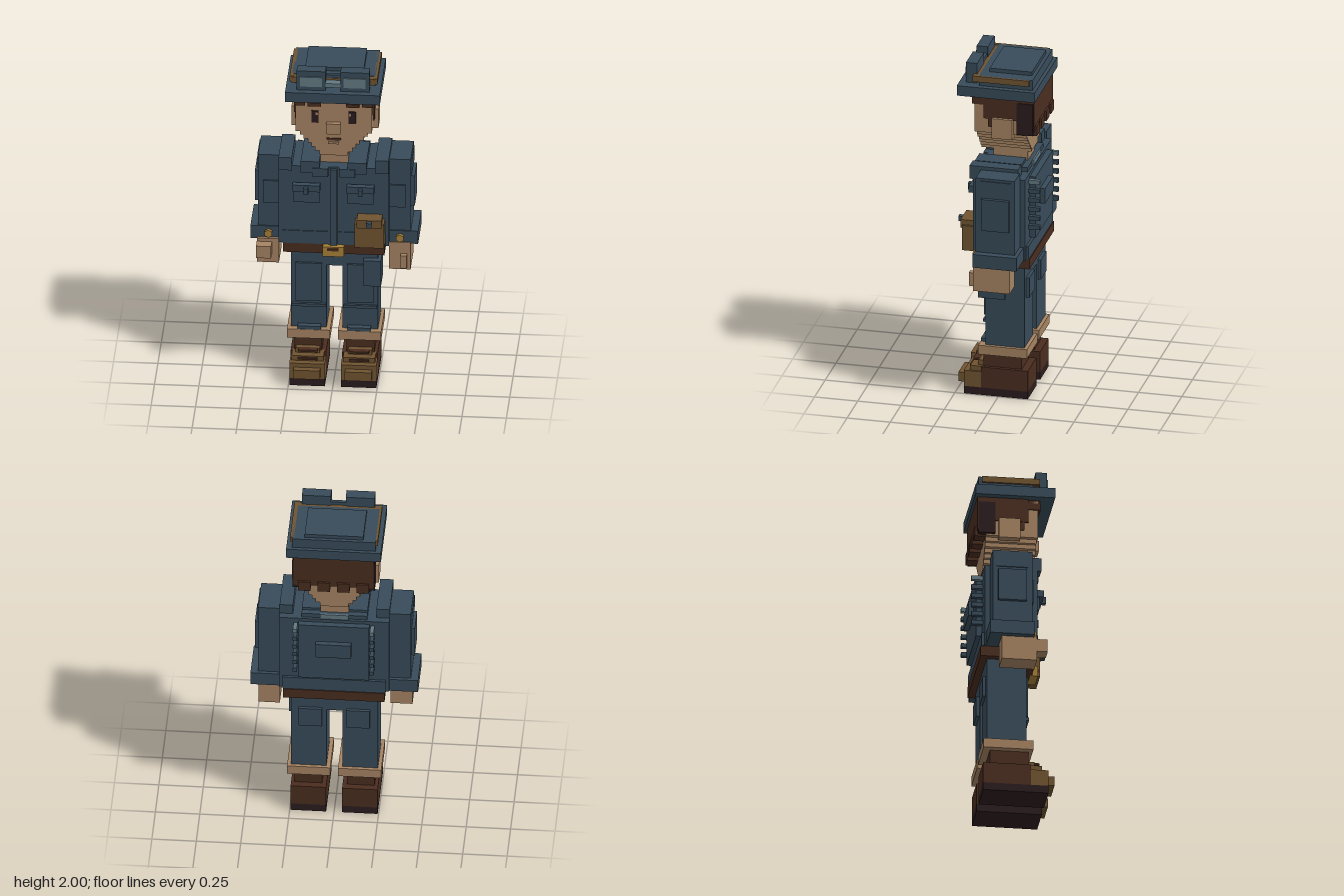
import * as THREE from 'three';

const mat = (name, color) => {
  const m = new THREE.MeshStandardMaterial({ color });
  m.name = name;
  return m;
};

export function createModel() {
  const model = new THREE.Group();
  model.name = 'worker';
  const blue = mat('workwear blue', 0x384b59);
  const skin = mat('skin tan', 0xa68463);
  const brown = mat('leather and hair brown', 0x4a2d20);
  const dark = mat('dark brown', 0x2c1d1e);
  const ochre = mat('ochre leather', 0x715431);
  const gold = mat('brass', 0xa88038);
  const glass = mat('grey glass', 0x647a83);

  const group = (name) => {
    const g = new THREE.Group();
    g.name = name;
    model.add(g);
    return g;
  };
  // Box from its extents along x, y and z
  const box = (parent, name, m, x0, x1, y0, y1, z0, z1) => {
    const mesh = new THREE.Mesh(new THREE.BoxGeometry(x1 - x0, y1 - y0, z1 - z0), m);
    mesh.position.set((x0 + x1) / 2, (y0 + y1) / 2, (z0 + z1) / 2);
    mesh.name = name;
    parent.add(mesh);
  };
  // Same box on both sides
  const pair = (parent, name, m, x0, x1, ...r) => {
    box(parent, name + 'Left', m, x0, x1, ...r);
    box(parent, name + 'Right', m, -x1, -x0, ...r);
  };

  // Boots
  const boots = group('boots');
  pair(boots, 'sole', dark, 0.045, 0.245, 0, 0.045, -0.17, 0.2);
  pair(boots, 'foot', brown, 0.045, 0.245, 0.045, 0.17, -0.17, 0.1);
  pair(boots, 'shaft', brown, 0.07, 0.225, 0.17, 0.26, -0.13, 0.09);
  pair(boots, 'toe', ochre, 0.045, 0.245, 0.045, 0.14, 0.1, 0.2);
  pair(boots, 'toeCap', ochre, 0.07, 0.22, 0.06, 0.115, 0.2, 0.237);
  pair(boots, 'toeTop', ochre, 0.055, 0.235, 0.14, 0.17, 0.08, 0.165);
  pair(boots, 'tongue', ochre, 0.08, 0.215, 0.17, 0.2, 0.08, 0.125);
  for (const y of [0.15, 0.19]) pair(boots, 'lace', brown, 0.09, 0.2, y, y + 0.012, 0.12, y < 0.17 ? 0.175 : 0.155);

  // Trousers with turn-ups, knee panels and pockets
  const legs = group('trousers');
  pair(legs, 'turnUp', skin, 0.022, 0.265, 0.255, 0.31, -0.17, 0.112);
  pair(legs, 'leg', blue, 0.045, 0.245, 0.31, 0.71, -0.15, 0.075);
  box(legs, 'hips', blue, -0.245, 0.245, 0.705, 0.82, -0.15, 0.075);
  pair(legs, 'kneePanel', blue, 0.07, 0.22, 0.48, 0.72, 0.07, 0.088);
  pair(legs, 'shinSeam', blue, 0.05, 0.24, 0.445, 0.462, 0.07, 0.09);
  pair(legs, 'hemFold', blue, 0.075, 0.205, 0.31, 0.33, 0.07, 0.11);
  pair(legs, 'backPocket', blue, 0.07, 0.2, 0.6, 0.72, -0.168, -0.145);
  box(legs, 'thighPocket', blue, 0.165, 0.264, 0.6, 0.76, -0.04, 0.112);

  // Belt
  const belt = group('belt');
  box(belt, 'strap', brown, -0.285, 0.285, 0.81, 0.87, -0.19, 0.13);
  box(belt, 'buckle', gold, -0.06, 0.06, 0.808, 0.868, 0.12, 0.165);
  box(belt, 'buckleSlot', brown, -0.035, 0.03, 0.845, 0.86, 0.163, 0.17);

  // Jacket
  const jacket = group('jacket');
  box(jacket, 'body', blue, -0.31, 0.31, 0.87, 1.36, -0.17, 0.13);
  box(jacket, 'hem', blue, -0.29, 0.29, 0.87, 0.95, -0.185, 0.135);
  box(jacket, 'placket', blue, -0.02, 0.02, 0.87, 1.35, 0.12, 0.147);
  pair(jacket, 'collar', blue, 0.08, 0.185, 1.33, 1.4, -0.12, 0.15);
  pair(jacket, 'lapel', blue, 0.03, 0.12, 1.31, 1.36, 0.12, 0.155);
  pair(jacket, 'shoulderStrap', blue, 0.235, 0.31, 1.34, 1.42, -0.13, 0.15);
  box(jacket, 'rearCollar', blue, -0.185, 0.185, 1.35, 1.385, -0.155, -0.1);
  box(jacket, 'collarLining', glass, -0.08, 0.08, 1.35, 1.39, -0.165, -0.155);
  pair(jacket, 'chestPocket', blue, 0.08, 0.225, 1.14, 1.25, 0.12, 0.15);
  pair(jacket, 'pocketFlap', blue, 0.075, 0.23, 1.22, 1.26, 0.14, 0.175);
  pair(jacket, 'pocketTab', blue, 0.14, 0.165, 1.21, 1.25, 0.17, 0.195);
  box(jacket, 'backPanel', blue, -0.2, 0.2, 0.97, 1.34, -0.205, -0.165);
  box(jacket, 'backPad', blue, -0.1, 0.1, 1.14, 1.23, -0.235, -0.2);
  for (let i = 0; i < 6; i++) {
    const y = 1.03 + i * 0.055;
    pair(jacket, 'backStud', i > 4 ? glass : blue, 0.205, 0.228, y, y + 0.025, -0.235, -0.165);
  }

  // Belt pouch
  const pouch = group('pouch');
  box(pouch, 'pouchBody', ochre, 0.122, 0.288, 0.89, 1.04, 0.12, 0.2);
  box(pouch, 'pouchFlap', ochre, 0.135, 0.275, 1.02, 1.07, 0.12, 0.212);
  box(pouch, 'pouchClasp', blue, 0.19, 0.22, 1.035, 1.065, 0.2, 0.238);

  // Sleeves, cuffs and hands
  const arms = group('arms');
  pair(arms, 'sleeve', blue, 0.31, 0.43, 0.9, 1.4, -0.14, 0.085);
  pair(arms, 'elbowPatch', blue, 0.42, 0.45, 1.09, 1.28, -0.11, 0.05);
  pair(arms, 'shoulderPad', blue, 0.42, 0.436, 1.3, 1.385, -0.12, 0.06);
  pair(arms, 'sleeveFold', blue, 0.31, 0.4, 1.1, 1.24, 0.08, 0.095);
  pair(arms, 'cuff', blue, 0.3, 0.472, 0.87, 0.95, -0.16, 0.092);
  for (const s of [1, -1]) {
    const button = new THREE.Mesh(new THREE.CylinderGeometry(0.024, 0.024, 0.03, 6).rotateX(Math.PI / 2), gold);
    button.name = 'cuffButton';
    button.position.set(s * 0.37, 0.91, 0.098);
    arms.add(button);
  }
  box(arms, 'leftHand', skin, 0.31, 0.43, 0.71, 0.88, -0.11, 0.1);
  box(arms, 'leftThumb', skin, 0.375, 0.41, 0.73, 0.81, 0.09, 0.13);
  box(arms, 'rightHand', skin, -0.435, -0.31, 0.73, 0.88, -0.09, 0.11);
  box(arms, 'rightThumb', skin, -0.435, -0.35, 0.785, 0.86, 0.1, 0.17);

  // Head with stepped jaw
  const head = group('head');
  box(head, 'neck', skin, -0.08, 0.08, 1.34, 1.46, -0.13, 0.07);
  const jaw = [[1.44, 0.08], [1.465, 0.105], [1.49, 0.125], [1.515, 0.145], [1.54, 0.17], [1.565, 0.19]];
  jaw.forEach(([y, w]) => box(head, 'jawStep', skin, -w, w, y, y + 0.025, -0.15, 0.138));
  box(head, 'face', skin, -0.215, 0.215, 1.59, 1.82, -0.15, 0.145);
  pair(head, 'ear', skin, 0.2, 0.245, 1.57, 1.69, -0.08, 0.04);
  box(head, 'nose', skin, -0.04, 0.04, 1.59, 1.655, 0.14, 0.172);
  box(head, 'mouth', brown, -0.04, 0.04, 1.538, 1.55, 0.136, 0.143);
  box(head, 'lowerLip', skin, -0.03, 0.03, 1.515, 1.53, 0.13, 0.147);
  pair(head, 'eye', dark, 0.085, 0.125, 1.65, 1.725, 0.144, 0.152);
  pair(head, 'eyeGlint', skin, 0.088, 0.1, 1.7, 1.715, 0.151, 0.154);
  pair(head, 'eyebrow', brown, 0.07, 0.145, 1.755, 1.775, 0.144, 0.156);

  // Hair
  const hair = group('hair');
  box(hair, 'backHair', brown, -0.225, 0.225, 1.62, 1.82, -0.2, -0.1);
  pair(hair, 'sideHair', brown, 0.2, 0.226, 1.68, 1.82, -0.12, 0.09);
  pair(hair, 'sideburn', brown, 0.205, 0.224, 1.63, 1.7, 0.03, 0.065);
  pair(hair, 'sidePatch', dark, 0.2, 0.231, 1.6, 1.79, -0.195, -0.1);
  box(hair, 'fringe', brown, -0.215, 0.215, 1.785, 1.825, 0.08, 0.155);
  pair(hair, 'fringeLock', brown, 0.16, 0.222, 1.76, 1.8, 0.09, 0.158);
  for (let i = 0; i < 4; i++) box(hair, 'napeLock', brown, -0.2 + i * 0.11, -0.13 + i * 0.11, 1.59, 1.65, -0.212, -0.14);

  // Cap
  const cap = group('cap');
  box(cap, 'brim', blue, -0.267, 0.267, 1.82, 1.88, -0.215, 0.235);
  box(cap, 'crown', blue, -0.235, 0.235, 1.88, 1.94, -0.195, 0.115);
  box(cap, 'crownTop', blue, -0.165, 0.165, 1.94, 1.962, -0.175, 0.07);
  pair(cap, 'sideBand', ochre, 0.225, 0.247, 1.905, 1.94, -0.177, 0.15);
  box(cap, 'frontBand', ochre, -0.235, 0.235, 1.9, 1.937, 0.11, 0.152);

  // Goggles
  const goggles = group('goggles');
  pair(goggles, 'goggleFrame', blue, 0.042, 0.205, 1.88, 2.0, 0.132, 0.197);
  pair(goggles, 'lens', glass, 0.06, 0.185, 1.905, 1.965, 0.195, 0.204);
  box(goggles, 'bridge', glass, -0.045, 0.045, 1.9, 1.925, 0.15, 0.195);
  box(goggles, 'bridgeTop', blue, -0.045, 0.045, 1.94, 1.96, 0.135, 0.155);

  return model;
}
